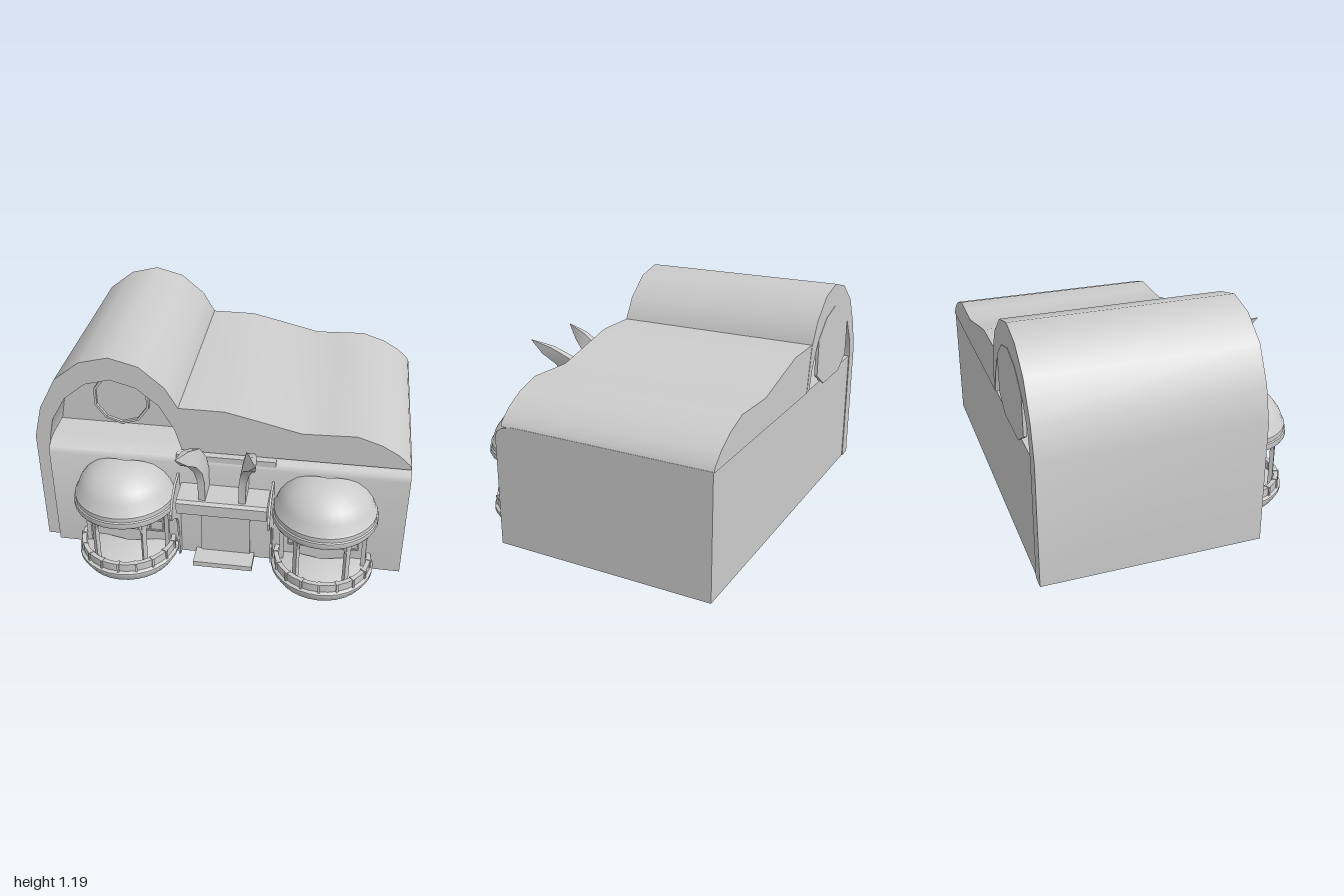
import * as THREE from 'three';
import { toCreasedNormals } from 'three/addons/utils/BufferGeometryUtils.js';

const mat = new THREE.MeshStandardMaterial({ color: 0xcccccc, side: THREE.DoubleSide });

function add(parent, name, geometry) {
  const mesh = new THREE.Mesh(geometry, mat);
  mesh.name = name;
  parent.add(mesh);
  return mesh;
}

const shapeOf = (pts) => new THREE.Shape(pts.map(([x, y]) => new THREE.Vector2(x, y)));

// Outline in x,y pulled along z
function extrudeZ(pts, z0, z1, crease = 0.6) {
  const g = new THREE.ExtrudeGeometry(shapeOf(pts), { depth: z1 - z0, bevelEnabled: false });
  return toCreasedNormals(g.translate(0, 0, z0), crease);
}

// Outline in z,y pulled along x
function extrudeX(pts, x0, x1, crease = 0.6) {
  const g = new THREE.ExtrudeGeometry(shapeOf(pts.map(([z, y]) => [-z, y])), { depth: x1 - x0, bevelEnabled: false });
  return toCreasedNormals(g.rotateY(Math.PI / 2).translate(x0, 0, 0), crease);
}

// Box given by its two corners
function box(x0, x1, y0, y1, z0, z1) {
  return new THREE.BoxGeometry(x1 - x0, y1 - y0, z1 - z0)
    .translate((x0 + x1) / 2, (y0 + y1) / 2, (z0 + z1) / 2);
}

// Lathe covering the front half and a little more
function halfLathe(pts, segments = 18) {
  const half = Math.PI / 2 + 0.2;
  const g = new THREE.LatheGeometry(pts.map(([r, y]) => new THREE.Vector2(r, y)), segments, -half, half * 2);
  return toCreasedNormals(g, 0.6);
}

function createBay(x) {
  const bay = new THREE.Group();
  bay.name = 'roundBay';
  bay.position.set(x, 0, 0.47);
  add(bay, 'bayBase', halfLathe([[0, 0], [0.25, 0], [0.277, 0.045], [0.277, 0.062], [0.262, 0.072], [0, 0.072]]));
  add(bay, 'bayParapet', halfLathe([[0.262, 0.07], [0.262, 0.118], [0.238, 0.118], [0.238, 0.07]]));
  add(bay, 'bayDome', halfLathe([
    [0, 0.385], [0.2, 0.385], [0.2, 0.375], [0.276, 0.375], [0.281, 0.385], [0.279, 0.41], [0.272, 0.415],
    [0.272, 0.44], [0.264, 0.45], [0.245, 0.5], [0.21, 0.548], [0.16, 0.585], [0.1, 0.609], [0.05, 0.618], [0, 0.62]]));

  // Parapet blocks
  for (let i = -4; i <= 4; i++) {
    const a = i * 0.37;
    const post = add(bay, 'parapetBlock', new THREE.BoxGeometry(0.012, 0.054, 0.034));
    post.position.set(Math.sin(a) * 0.251, 0.095, Math.cos(a) * 0.251);
    post.rotation.y = a;
  }

  // Columns with curved brackets forming arches
  const at = (a, y) => new THREE.Vector3(Math.sin(a) * 0.222, y, Math.cos(a) * 0.222);
  for (const a of [-1.5, -0.63, 0.63, 1.5]) {
    const column = add(bay, 'bayColumn', new THREE.BoxGeometry(0.024, 0.31, 0.024));
    column.position.copy(at(a, 0.225));
    column.rotation.y = a;
    for (const s of [-1, 1]) {
      const curve = new THREE.CatmullRomCurve3([
        at(a, 0.27), at(a + s * 0.06, 0.32), at(a + s * 0.16, 0.355), at(a + s * 0.32, 0.38)]);
      add(bay, 'archBracket', new THREE.TubeGeometry(curve, 8, 0.011, 6));
    }
  }

  // Window in the wall behind the bay
  const w = 0.19;
  add(bay, 'bayWindow', extrudeZ([[-w, 0.14], [w, 0.14], [w, 0.28], [0.13, 0.33], [0.06, 0.345],
    [-0.06, 0.345], [-0.13, 0.33], [-w, 0.28]], -0.035, -0.026));
  for (const mx of [-0.19, -0.114, -0.038, 0.038, 0.114, 0.19]) {
    add(bay, 'windowBar', box(mx - 0.004, mx + 0.004, 0.14, Math.abs(mx) > 0.15 ? 0.28 : 0.33, -0.03, -0.018));
  }
  for (const y of [0.14, 0.21, 0.275]) {
    add(bay, 'windowRail', box(-w, w, y - 0.004, y + 0.004, -0.03, -0.018));
  }
  return bay;
}

// Tapering horn lofted from four-cornered sections: back z,y / front z,y / centre x / width
function hornGeometry(mirror) {
  const sections = [
    [0.44, 0.47, 0.572, 0.47, 0.105, 0.036], [0.44, 0.6, 0.575, 0.6, 0.108, 0.038],
    [0.46, 0.68, 0.59, 0.67, 0.12, 0.044], [0.52, 0.77, 0.63, 0.73, 0.142, 0.046],
    [0.64, 0.83, 0.7, 0.785, 0.17, 0.036], [0.765, 0.862, 0.765, 0.858, 0.195, 0.004]];
  const pos = [], index = [];
  for (const [bz, by, fz, fy, cx, w] of sections) {
    for (const [s, z, y] of [[-1, bz, by], [1, bz, by], [1, fz, fy], [-1, fz, fy]]) {
      pos.push(0.04 + mirror * (cx + s * w / 2), y, z);
    }
  }
  const quad = (a, b, c, d) => (mirror > 0 ? index.push(a, c, b, a, d, c) : index.push(a, b, c, a, c, d));
  for (let i = 0; i < sections.length - 1; i++) {
    for (let k = 0; k < 4; k++) {
      const n = (k + 1) % 4, o = i * 4;
      quad(o + k, o + n, o + 4 + n, o + 4 + k);
    }
  }
  const last = (sections.length - 1) * 4;
  quad(last, last + 1, last + 2, last + 3);
  const g = new THREE.BufferGeometry();
  g.setAttribute('position', new THREE.Float32BufferAttribute(pos, 3));
  g.setIndex(index);
  return toCreasedNormals(g, 0.6);
}

export function createModel() {
  const model = new THREE.Group();
  model.name = 'building';

  // Main block with a rounded front top edge
  add(model, 'mainBlock', extrudeX([[-0.755, 0.01], [0.44, 0.01], [0.44, 0.61], [0.427, 0.637],
    [0.4, 0.655], [0.34, 0.67], [-0.755, 0.67]], -0.92, 1));

  // Wavy roof over the left part
  add(model, 'wavyRoof', extrudeZ([[-0.17, 0.665], [1, 0.665], [0.99, 0.69], [0.93, 0.745], [0.84, 0.797],
    [0.71, 0.84], [0.58, 0.835], [0.43, 0.83], [0.2, 0.886], [0.03, 0.925], [-0.215, 0.925]], -0.758, 0.4));

  // Arched vault shell on the right part
  add(model, 'archedVault', extrudeZ([
    [-1, 0.01], [-1, 0.68], [-0.955, 0.86], [-0.86, 1.04], [-0.72, 1.15], [-0.565, 1.19], [-0.41, 1.15],
    [-0.28, 1.04], [-0.21, 0.92], [-0.165, 0.67], [-0.2, 0.67], [-0.235, 0.79], [-0.315, 0.93], [-0.43, 1.025],
    [-0.565, 1.062], [-0.7, 1.025], [-0.815, 0.93], [-0.895, 0.79], [-0.92, 0.67], [-0.92, 0.01]], -0.76, 0.4));
  add(model, 'rearGablePanel', extrudeZ([
    [-0.315, 0.93], [-0.43, 1.025], [-0.565, 1.062], [-0.7, 1.025], [-0.815, 0.93], [-0.815, 0.72],
    [-0.7, 0.645], [-0.43, 0.645], [-0.315, 0.72]], -0.762, -0.745));
  add(model, 'frontGableWall', extrudeZ([
    [-0.2, 0.66], [-0.235, 0.79], [-0.315, 0.93], [-0.43, 1.025], [-0.565, 1.062], [-0.7, 1.025],
    [-0.815, 0.93], [-0.895, 0.79], [-0.92, 0.66]], 0.17, 0.19));

  // Ten-sided gable window
  const rim = add(model, 'gableWindowFrame', toCreasedNormals(new THREE.LatheGeometry(
    [[0.145, 0], [0.158, 0], [0.158, 0.03], [0.145, 0.03], [0.145, 0]].map(([r, y]) => new THREE.Vector2(r, y)), 10), 0.3));
  const pane = add(model, 'gableWindowPane', new THREE.CylinderGeometry(0.147, 0.147, 0.012, 10));
  rim.position.set(-0.565, 0.84, 0.19);
  pane.position.set(-0.565, 0.84, 0.198);
  rim.rotation.x = pane.rotation.x = Math.PI / 2;

  // Domed bays
  model.add(createBay(-0.5), createBay(0.575));

  // Entrance: canopy, door, step, ledge
  add(model, 'canopy', extrudeX([[0.43, 0.4], [0.6, 0.4], [0.6, 0.465], [0.585, 0.48], [0.43, 0.485]], -0.2, 0.28));
  add(model, 'door', box(-0.095, 0.175, 0.03, 0.315, 0.43, 0.45));
  add(model, 'doorStep', box(-0.125, 0.2, 0.01, 0.04, 0.43, 0.56));
  add(model, 'upperLedge', box(-0.225, 0.305, 0.615, 0.66, 0.38, 0.432));

  // Curved fins and horns either side of the entrance
  const fin = [[0.43, 0.01], [0.475, 0.01], [0.495, 0.13], [0.48, 0.15], [0.488, 0.2], [0.5, 0.26], [0.53, 0.31],
    [0.6, 0.36], [0.655, 0.39], [0.66, 0.43], [0.61, 0.5], [0.53, 0.54], [0.43, 0.545]];
  for (const s of [-1, 1]) {
    const x = 0.04 + s * 0.255;
    add(model, 'entranceFin', extrudeX(fin, x - 0.006, x + 0.006));
    add(model, 'horn', hornGeometry(s));
  }
  return model;
}
